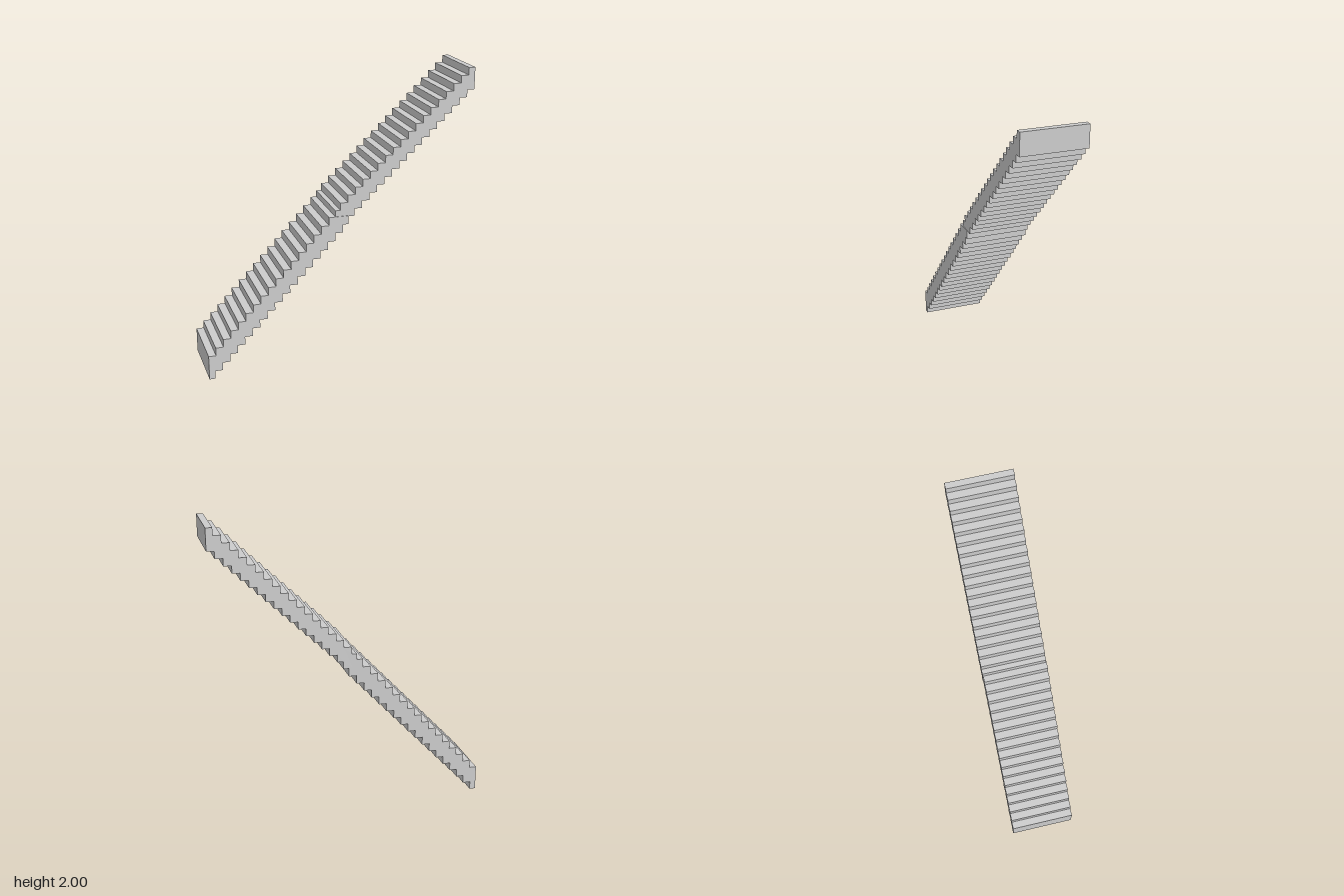
import * as THREE from 'three';

const material = new THREE.MeshStandardMaterial({ color: 0xcccccc, flatShading: true });

// Extrudes a side outline across the stair width, from zBack to zFront
function flight(name, points, zBack, zFront) {
  const shape = new THREE.Shape(points.map(([x, y]) => new THREE.Vector2(x, y)));
  const geometry = new THREE.ExtrudeGeometry(shape, { depth: zFront - zBack, bevelEnabled: false });
  geometry.translate(0, 0, zBack);
  const mesh = new THREE.Mesh(geometry, material);
  mesh.name = name;
  return mesh;
}

// Lower flight: steeper steps, ending in a short flat tread under the upper flight
function lowerOutline() {
  const run = 0.0527, rise = 0.0557, left = -0.923, right = 0.052, steps = 18;
  const under = [], over = [[left, 0.17]];
  for (let i = 0; i < steps; i++) {
    const x = -0.882 + i * run;
    under.push([x, i * rise], [x, (i + 1) * rise]);
  }
  for (let i = 0; i < 16; i++) {
    const x = -0.873 + i * run;
    over.push([x, 0.17 + i * rise], [x, 0.17 + (i + 1) * rise]);
  }
  const top = 0.17 + 16 * rise;
  return [[left, 0], ...under, [right, steps * rise], [right, top], ...over.reverse()];
}

// Upper flight: shallower steps, counted down from the top end
function upperOutline() {
  const run = 0.0519, rise = 0.0498, left = -0.038, right = 0.923, steps = 18;
  const under = [[right, 1.852]], over = [[right, 2]];
  for (let i = 0; i < steps; i++) {
    const xu = 0.873 - i * run, xo = 0.879 - i * run;
    under.push([xu, 1.852 - i * rise], [xu, 1.852 - (i + 1) * rise]);
    over.push([xo, 2 - i * rise], [xo, 2 - (i + 1) * rise]);
  }
  under.push([left, 1.852 - steps * rise]);
  over.push([left, 2 - steps * rise]);
  return [...under.reverse(), ...over];
}

export function createModel() {
  const group = new THREE.Group();
  group.name = 'staircase';
  group.add(flight('lowerFlight', lowerOutline(), -0.218, 0.222));
  group.add(flight('upperFlight', upperOutline(), -0.222, 0.218));
  return group;
}
